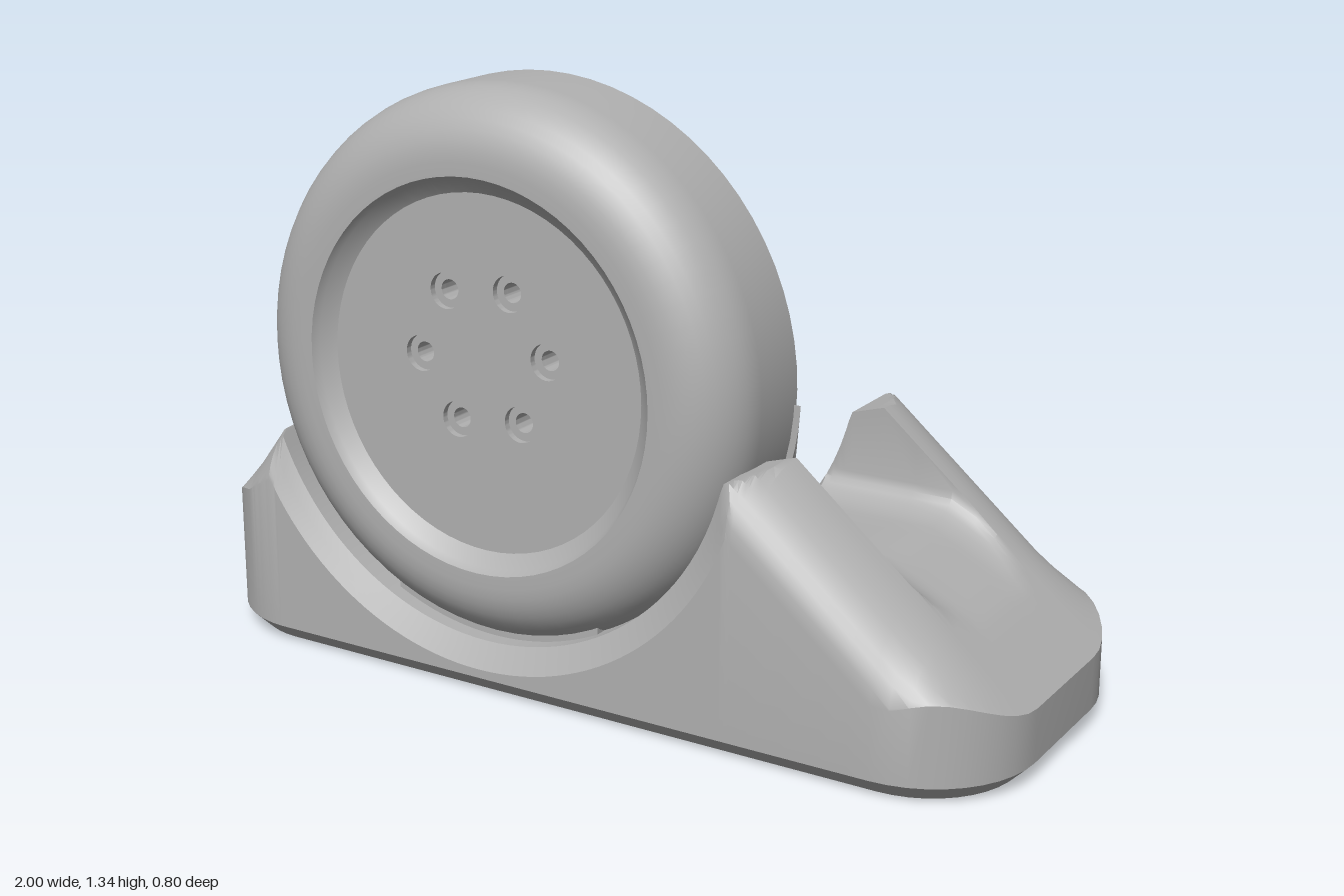
import * as THREE from 'three';
import { toCreasedNormals } from 'three/addons/utils/BufferGeometryUtils.js';

const CX = -0.2, CY = 0.72; // centre of the round cap and its cradle

// collects quads and triangles into one geometry
function builder() {
  const pos = [];
  const tri = (a, b, c) => pos.push(...a, ...b, ...c);
  const quad = (a, b, c, d) => { tri(a, b, c); tri(a, c, d); };
  const build = () => {
    const g = new THREE.BufferGeometry();
    g.setAttribute('position', new THREE.Float32BufferAttribute(pos, 3));
    return toCreasedNormals(g, 0.5);
  };
  return { tri, quad, build };
}

// height of the base's top: ramps with rounded edges, cradle, rims and cable slot
function topHeight(x, z) {
  const az = Math.abs(z);
  const t = Math.min(1, Math.max(0, (az - 0.2) / 0.2));
  const drop = 0.17 * (1 - Math.sqrt(1 - t * t));
  const slope = x > CX ? 0.61 - 0.849 * (x - 0.47) : 0.475 + 1.32 * (x + 0.83);
  const floorY = x > CX ? 0.16 : 0.25;
  const fade = Math.min(1, Math.max(0, (slope - floorY) / 0.17));
  const ramp = slope - drop * fade;
  const rim = x > CX ? 0.585 + 0.3 * (x - 0.385) : 0.505 + 0.43 * (x + 0.76);
  const r = 0.605 + 0.055 * Math.min(1, Math.max(0, (az - 0.365) / 0.035));
  const d = Math.abs(x - CX);
  const arc = d < r ? CY - Math.sqrt(r * r - d * d) : Infinity;
  let y = Math.min(ramp, rim, arc);
  if (az <= 0.2 && x > 0.3) {
    const c = Math.max(0, (az - 0.1) / 0.1);
    y = Math.min(y, 0.395 - 0.5 * Math.max(0, x - 0.64) + 0.055 * (1 - Math.sqrt(1 - Math.min(1, c * c))));
  }
  return y;
}

function baseGeometry() {
  const b = builder();
  // columns along x: rounded corners, cradle arc and ramp breaks
  const xs = [-0.83, -0.76, 0.385, 0.43, 0.47, 0.55, 0.64, 0.7, 0.83];
  for (let i = 0; i <= 10; i++) {
    const x = 0.75 + 0.25 * Math.sin(i / 10 * Math.PI / 2);
    xs.push(x, -x);
  }
  for (let i = -32; i <= 32; i++) xs.push(CX + 0.655 * Math.sin(i / 32 * 1.45));
  xs.sort((p, q) => p - q);
  const cols = xs.filter((x, i) => i === 0 || x - xs[i - 1] > 0.0005).map((x) => {
    const nx = Math.max(0, Math.abs(x) - 0.75) / 0.25;
    const nz = Math.sqrt(Math.max(0, 1 - nx * nx));
    return { x, w: 0.15 + 0.25 * nz, nx: nx * Math.sign(x), nz };
  });
  // top surface
  const half = [0, 0.05, 0.1, 0.125, 0.15, 0.17, 0.185, 0.195, 0.2, 0.2005, 0.23, 0.26, 0.29, 0.32, 0.345, 0.365, 0.38, 0.39, 0.396, 0.4];
  const zs = [...half.slice(1).reverse().map((z) => -z), ...half];
  const at = (c, z) => {
    const q = Math.max(-c.w, Math.min(c.w, z));
    return [c.x, topHeight(c.x, q), q];
  };
  for (let i = 0; i + 1 < cols.length; i++) {
    for (let j = 0; j + 1 < zs.length; j++) {
      const p = cols[i], q = cols[i + 1];
      if (Math.min(Math.abs(zs[j]), Math.abs(zs[j + 1])) >= Math.max(p.w, q.w)) continue;
      b.quad(at(p, zs[j]), at(p, zs[j + 1]), at(q, zs[j + 1]), at(q, zs[j]));
    }
  }
  // outline rings: recessed underside, foot rim, bevel and wall
  const ring = (o, y) => {
    const side = (s) => cols.map((c) => [c.x - o * c.nx, y ?? topHeight(c.x, c.w), s * (c.w - o * c.nz)]);
    return [...side(1), ...side(-1).reverse()];
  };
  const rings = [ring(0.09, 0.015), ring(0.09, 0), ring(0.04, 0), ring(0, 0.04), ring(0)];
  const n = rings[0].length;
  for (let k = 0; k < n; k++) {
    const m = (k + 1) % n;
    for (let r = 0; r < 4; r++) b.quad(rings[r][k], rings[r][m], rings[r + 1][m], rings[r + 1][k]);
    b.tri([0, 0.015, 0], rings[0][m], rings[0][k]);
  }
  return b.build();
}

// curved fin blending the cradle rim into the cap's back edge
function finGeometry(side, zStart, yStart) {
  const b = builder(), secs = [], steps = 14;
  for (let i = 0; i <= steps; i++) {
    const t = i / steps;
    const z = zStart + (0.11 - zStart) * t;
    const top = yStart + (0.69 - yStart) * (1 - Math.sqrt(1 - t * t));
    const point = (r, y) => [CX + side * Math.sqrt(r * r - (y - CY) ** 2), y, z];
    const sec = [];
    for (let k = 0; k <= 6; k++) sec.push(point(0.597, 0.4 + (top - 0.4) * k / 6));
    for (let k = 6; k >= 0; k--) sec.push(point(0.63, 0.4 + (top - 0.4) * k / 6));
    secs.push(sec);
  }
  for (let i = 0; i < steps; i++) {
    for (let k = 0; k < 13; k++) {
      const q = [secs[i][k], secs[i + 1][k], secs[i + 1][k + 1], secs[i][k + 1]];
      if (side < 0) q.reverse();
      b.quad(...q);
    }
  }
  // end face against the cap
  const e = secs[steps];
  for (let k = 0; k < 6; k++) {
    const q = [e[k], e[13 - k], e[12 - k], e[k + 1]];
    if (side < 0) q.reverse();
    b.quad(...q);
  }
  return b.build();
}

// hollow cap with rounded front shoulder
function capGeometry() {
  const pts = [[0.39, 0.33], [0.45, 0.33]];
  for (let i = 1; i <= 8; i++) {
    const a = (1 - i / 8) * Math.PI / 2;
    pts.push([0.45 + 0.12 * Math.cos(a), 0.21 + 0.12 * Math.sin(a)]);
  }
  pts.push([0.57, 0.1], [0.615, 0.1]);
  for (let i = 0; i <= 10; i++) {
    const a = i / 10 * Math.PI / 2;
    pts.push([0.465 + 0.15 * Math.cos(a), 0.25 + 0.15 * Math.sin(a)]);
  }
  pts.push([0.435, 0.4], [0.425, 0.383], [0.395, 0.36], [0.39, 0.33]);
  const g = new THREE.LatheGeometry(pts.map((p) => new THREE.Vector2(...p)), 72);
  g.rotateX(Math.PI / 2);
  return toCreasedNormals(g.translate(CX, CY, 0), 0.5);
}

// flat plate pierced by the ring of six holes
function pierced(shape, holeRadius, z0, z1) {
  for (let i = 0; i < 6; i++) {
    const a = (5 + i * 60) * Math.PI / 180;
    shape.holes.push(new THREE.Path().absarc(CX + 0.163 * Math.cos(a), 0.76 + 0.163 * Math.sin(a), holeRadius, 0, Math.PI * 2, true));
  }
  const g = new THREE.ExtrudeGeometry(shape, { depth: z1 - z0, bevelEnabled: false, curveSegments: 32 });
  return toCreasedNormals(g.translate(0, 0, z0), 0.5);
}

export function createModel() {
  const group = new THREE.Group();
  const grey = new THREE.MeshStandardMaterial({ color: 0xb0b0b0 });
  grey.name = 'plain grey';
  const add = (name, geometry) => {
    const mesh = new THREE.Mesh(geometry, grey);
    mesh.name = name;
    group.add(mesh);
  };
  const disc = () => new THREE.Shape().absarc(CX, CY, 0.396, 0, Math.PI * 2, false);

  add('base', baseGeometry());
  add('leftBlendFin', finGeometry(1, -0.05, 0.401));
  add('rightBlendFin', finGeometry(-1, -0.2, 0.505));
  add('cap', capGeometry());
  add('frontDisc', pierced(disc(), 0.04, 0.345, 0.36));
  add('innerDisc', pierced(disc(), 0.022, 0.33, 0.345));

  // round-topped mounting plate running down into the cradle
  const hw = 0.265, a = Math.acos(hw / 0.61);
  const plate = new THREE.Shape();
  plate.absarc(CX, 0.76, hw, 0, Math.PI, false);
  plate.absarc(CX, CY, 0.61, Math.PI + a, Math.PI * 2 - a, false);
  plate.closePath();
  add('mountingPlate', pierced(plate, 0.022, 0.25, 0.33));
  return group;
}
